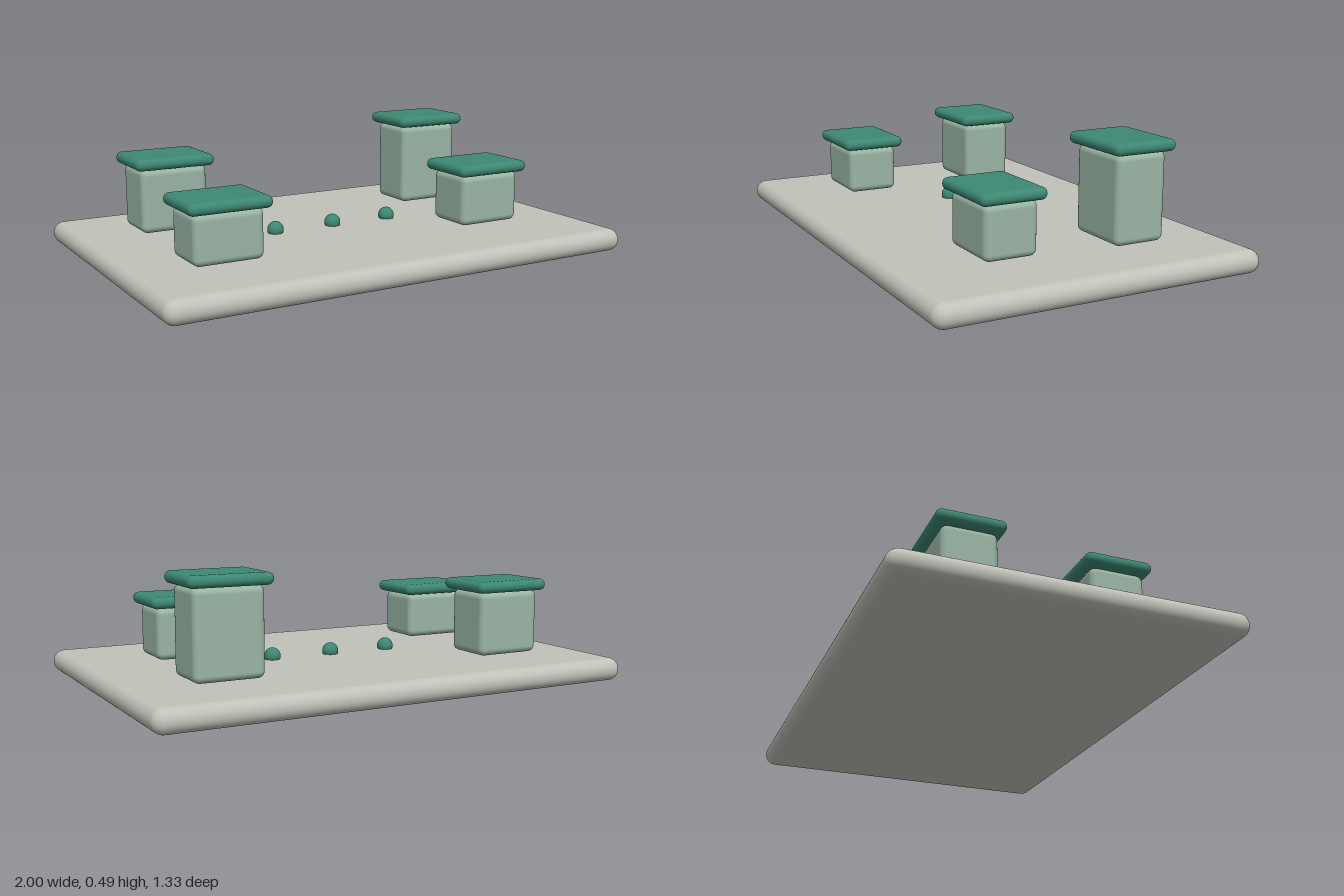
import * as THREE from 'three';
import { RoundedBoxGeometry } from 'three/addons/geometries/RoundedBoxGeometry.js';

export function createModel() {
  const model = new THREE.Group();
  model.name = 'courtyard';

  const material = (name, color) => {
    const m = new THREE.MeshStandardMaterial({ color });
    m.name = name;
    return m;
  };
  const stone = material('pale stone', 0xc0c2b9);
  const wall = material('sage wall', 0x9ab5a6);
  const green = material('deep green', 0x3d8873);

  const add = (parent, name, geometry, mat, x, y, z) => {
    const mesh = new THREE.Mesh(geometry, mat);
    mesh.name = name;
    mesh.position.set(x, y, z);
    parent.add(mesh);
  };

  // Ground slab with fully rounded rim
  const slabH = 0.093;
  add(model, 'groundSlab', new RoundedBoxGeometry(2, slabH, 1.333, 6, slabH / 2 - 0.0005), stone, 0, slabH / 2, 0);

  // Four pavilions: rounded body under an overhanging roof slab
  const roofH = 0.047;
  const bodyBottom = 0.102;
  const pavilions = [
    ['backRightPavilion', -0.617, -0.302, 0.362],
    ['frontRightPavilion', -0.635, 0.264, 0.296],
    ['backLeftPavilion', 0.615, -0.287, 0.447],
    ['frontLeftPavilion', 0.567, 0.23, 0.312],
  ];
  for (const [name, x, z, top] of pavilions) {
    const pavilion = new THREE.Group();
    pavilion.name = name;
    pavilion.position.set(x, 0, z);
    const h = top - bodyBottom;
    add(pavilion, 'body', new RoundedBoxGeometry(0.28, h, 0.215, 5, 0.027), wall, 0, bodyBottom + h / 2, 0);
    add(pavilion, 'roof', new RoundedBoxGeometry(0.333, roofH, 0.267, 5, roofH / 2 - 0.0005), green, 0, top + roofH / 2 - 0.001, 0);
    model.add(pavilion);
  }

  // Row of round shrubs along the middle
  const shrub = new THREE.SphereGeometry(0.0333, 32, 20);
  for (const x of [-0.267, 0, 0.267]) add(model, 'shrub', shrub, green, x, 0.107, 0);

  return model;
}
